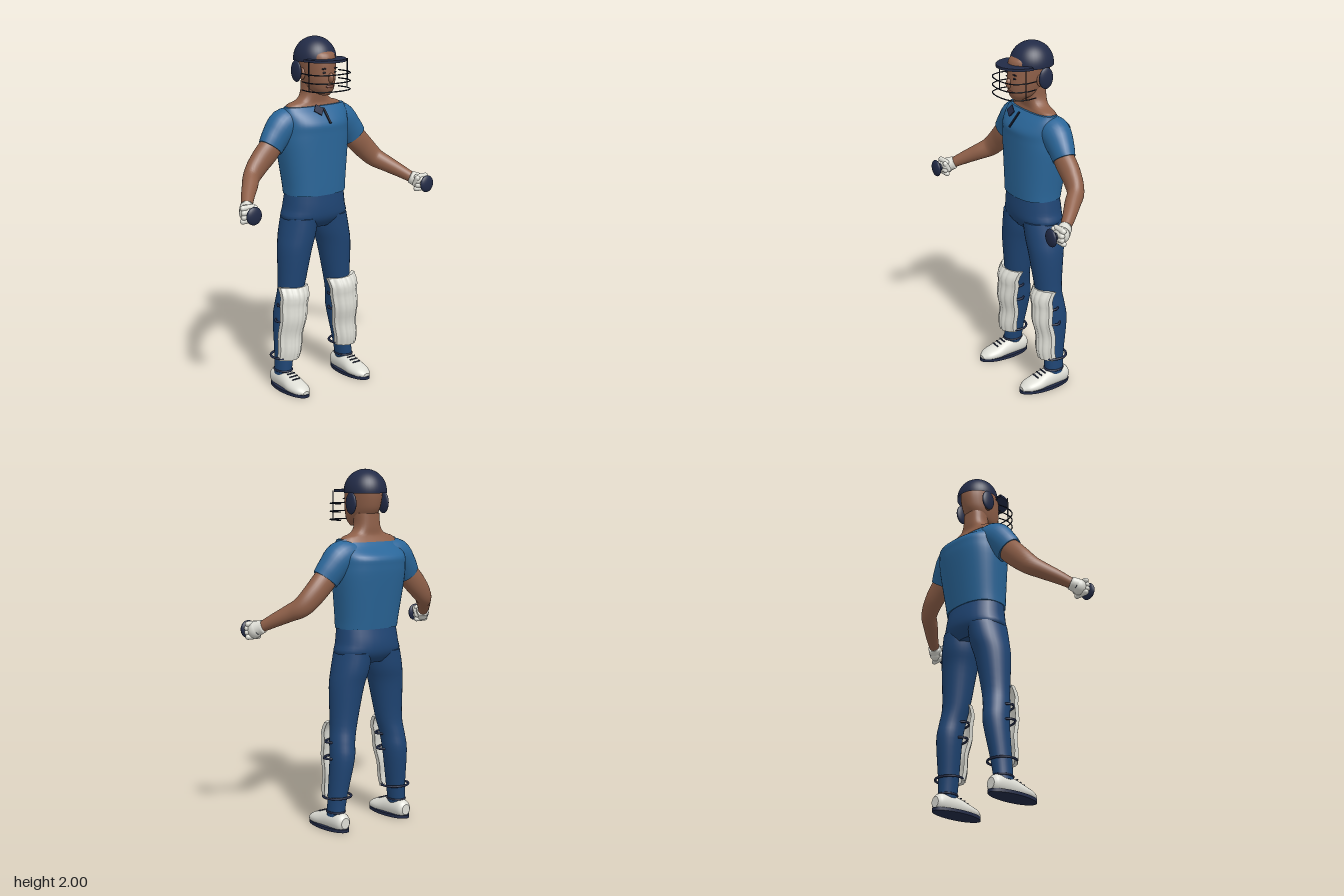
import * as THREE from 'three';

const V = (x, y, z) => new THREE.Vector3(x, y, z);
const mat = (name, color, side = THREE.FrontSide) => {
  const m = new THREE.MeshStandardMaterial({ color, side });
  m.name = name;
  return m;
};

// Skin of rounded sections. Row: [x, y, z, half width, half depth]; axis null follows the path.
function loft(rows, axis = null, e = 2, n = 28, sub = 4) {
  const centre = new THREE.CatmullRomCurve3(rows.map(r => V(r[0], r[1], r[2])), false, 'catmullrom', 0.5);
  const size = new THREE.CatmullRomCurve3(rows.map(r => V(r[3], r[4], 0)), false, 'catmullrom', 0.5);
  const steps = (rows.length - 1) * sub, pos = [], idx = [];
  const ring = (t) => {
    const c = centre.getPoint(t), s = size.getPoint(t);
    const d = axis || centre.getTangent(t);
    const b = Math.abs(d.y) > 0.99 ? V(0, 0, -1) : V(0, 1, 0).addScaledVector(d, -d.y).normalize();
    const a = b.clone().cross(d).normalize();
    for (let i = 0; i < n; i++) {
      const w = i / n * Math.PI * 2, co = Math.cos(w), si = Math.sin(w);
      const p = c.clone()
        .addScaledVector(a, s.x * Math.sign(co) * Math.abs(co) ** (2 / e))
        .addScaledVector(b, s.y * Math.sign(si) * Math.abs(si) ** (2 / e));
      pos.push(p.x, p.y, p.z);
    }
  };
  for (let j = 0; j <= steps; j++) ring(j / steps);
  for (let j = 0; j < steps; j++) for (let i = 0; i < n; i++) {
    const p = j * n + i, q = j * n + (i + 1) % n;
    idx.push(p, q, p + n, q, q + n, p + n);
  }
  // end caps with their own corners, so the rims stay sharp
  for (const t of [0, 1]) {
    const start = pos.length / 3;
    ring(t);
    const c = centre.getPoint(t), m = start + n;
    pos.push(c.x, c.y, c.z);
    for (let i = 0; i < n; i++) {
      const p = start + i, q = start + (i + 1) % n;
      t ? idx.push(p, q, m) : idx.push(q, p, m);
    }
  }
  const g = new THREE.BufferGeometry();
  g.setAttribute('position', new THREE.Float32BufferAttribute(pos, 3));
  g.setIndex(idx);
  g.computeVertexNormals();
  return g;
}

// Move every vertex of a geometry by a rule
function bend(g, rule) {
  const p = g.attributes.position, v = V(0, 0, 0);
  for (let i = 0; i < p.count; i++) {
    rule(v.fromBufferAttribute(p, i));
    p.setXYZ(i, v.x, v.y, v.z);
  }
  g.computeVertexNormals();
  return g;
}

const tube = (pts, r) => new THREE.TubeGeometry(new THREE.CatmullRomCurve3(pts), 28, r, 6);
const ball = (rx, ry, rz) => new THREE.SphereGeometry(1, 24, 16).scale(rx, ry, rz);

export function createModel() {
  const root = new THREE.Group();
  const Y = V(0, 1, 0), Z = V(0, 0, 1);
  const skin = mat('skin', 0x8f6049);
  const shirt = mat('shirt blue', 0x2a6699);
  const pants = mat('trouser blue', 0x1f4574);
  const navy = mat('navy', 0x222b47, THREE.DoubleSide);
  const white = mat('off white', 0xdeded6);
  const dark = mat('dark trim', 0x151b2b);
  const lip = mat('lip', 0x74463a);
  const add = (name, geo, m, x = 0, y = 0, z = 0) => {
    const mesh = new THREE.Mesh(geo, m);
    mesh.name = name;
    mesh.position.set(x, y, z);
    root.add(mesh);
    return mesh;
  };

  // Torso
  add('shirt', loft([
    [0, 1.13, -.06, .185, .13], [0, 1.2, -.065, .19, .137], [0, 1.4, -.08, .212, .155],
    [0, 1.48, -.084, .212, .16], [0, 1.53, -.082, .21, .157], [0, 1.58, -.062, .205, .105],
    [0, 1.622, -.06, .195, .064]], Y, 2.4, 40), shirt);
  add('hips', loft([
    [0, 1.14, -.06, .18, .125], [0, 1.05, -.065, .192, .134], [0, .99, -.066, .2, .126],
    [0, .94, -.066, .1, .09]].reverse(), Y, 2.2), pants);
  add('shoulders', loft([
    [0, 1.605, -.072, .188, .07], [0, 1.632, -.07, .165, .058], [0, 1.652, -.068, .105, .056],
    [0, 1.69, -.066, .074, .06], [0, 1.76, -.06, .068, .065]], Y, 2.6), skin);
  add('placket', new THREE.BoxGeometry(.012, .1, .006), dark, 0, 1.575, .06).rotation.x = -.72;
  const flap = add('collarFlap', new THREE.BoxGeometry(.052, .044, .006), navy, -.05, 1.61, .05);
  flap.rotation.set(-.5, 0, -.6);

  // Head and face
  add('head', loft([
    [0, 1.688, .035, .03, .03], [0, 1.72, 0, .062, .085], [0, 1.77, -.02, .078, .113],
    [0, 1.82, -.03, .085, .122], [0, 1.88, -.036, .088, .124], [0, 1.92, -.04, .08, .108],
    [0, 1.965, -.05, .03, .03]], Y, 2.1), skin);
  add('nose', ball(.015, .028, .02), skin, 0, 1.785, .092);
  add('mouth', ball(.027, .008, .008), lip, 0, 1.738, .087);
  for (const s of [-1, 1]) {
    add('eye', ball(.014, .005, .005), dark, s * .035, 1.815, .081);
    add('eyebrow', ball(.02, .004, .005), dark, s * .036, 1.836, .082);
    add('ear', ball(.012, .034, .022), skin, s * .088, 1.8, -.05);
  }

  // Helmet
  add('helmetShell', new THREE.SphereGeometry(1, 40, 20, 0, Math.PI * 2, 0, 1.66).scale(.117, .12, .122), navy, 0, 1.88, -.052);
  add('helmetPeak', new THREE.CylinderGeometry(1, 1, .014, 36, 1, false, -Math.PI / 2, Math.PI).scale(.126, 1, .138), navy, 0, 1.88, .017);
  for (const y of [1.81, 1.765, 1.72]) {
    add('grilleBar', tube([V(-.125, y, 0), V(-.131, y, .07), V(-.1, y, .135), V(0, y, .16),
      V(.1, y, .135), V(.131, y, .07), V(.125, y, 0)], .0035), dark);
  }
  for (const s of [-1, 1]) {
    add('earGuard', ball(.016, .06, .044), navy, s * .113, 1.815, -.07);
    add('grillePost', new THREE.CylinderGeometry(.0035, .0035, .16, 6), dark, s * .131, 1.8, .07);
  }

  for (const s of [-1, 1]) {
    const side = rows => rows.map(([x, ...r]) => [s * x, ...r]);

    // Arm
    add('sleeve', loft(side([
      [.11, 1.545, -.08, .08, .07], [.19, 1.525, -.08, .084, .09],
      [.25, 1.465, -.076, .072, .083], [.29, 1.41, -.07, .06, .078]])), shirt);
    add('arm', loft(side([
      [.25, 1.45, -.072, .05, .06], [.3, 1.4, -.07, .054, .068], [.37, 1.33, -.068, .051, .064],
      [.43, 1.27, -.05, .046, .056], [.475, 1.235, 0, .043, .047], [.53, 1.195, .06, .036, .038],
      [.585, 1.15, .13, .027, .028]])), skin);

    // Glove around a grip with a round end
    add('gloveCuff', loft(side([[.572, 1.16, .112, .036, .036], [.595, 1.145, .145, .04, .042]])), white);
    add('glovePalm', ball(.04, .046, .042), white, s * .6, 1.137, .155);
    for (let i = 0; i < 4; i++) {
      const finger = new THREE.CapsuleGeometry(.0155, .066, 6, 12).rotateZ(Math.PI / 2);
      add('gloveFinger', finger, white, s * .602, 1.1 + i * .0235, .168 + .012 * Math.sin(i));
    }
    const thumb = add('gloveThumb', new THREE.CapsuleGeometry(.015, .045, 6, 12), white, s * .565, 1.145, .17);
    thumb.rotation.x = .5;
    add('grip', new THREE.CylinderGeometry(.02, .02, .1, 16).rotateX(Math.PI / 2), navy, s * .6, 1.137, .165);
    add('gripEnd', ball(.047, .049, .018), navy, s * .6, 1.135, .222);

    // Leg
    add('trouserLeg', loft(side([
      [.222, .08, -.065, .046, .055], [.21, .2, -.07, .053, .061], [.19, .4, -.085, .068, .075],
      [.18, .5, -.073, .07, .077], [.162, .6, -.062, .077, .078], [.14, .8, -.06, .097, .1],
      [.118, .9, -.065, .104, .115], [.1, 1.0, -.066, .098, .122]]), Y), pants);

    // Leg pad: ribbed, curved shell with a knee roll
    add('legPad', bend(new THREE.BoxGeometry(2, 1, 1, 40, 14, 1), v => {
      const u = v.x, t = v.y + .5, back = v.z < 0;
      const outer = .278 - .013 * t, inner = .135 - .06 * t;
      const rib = back ? 0 : .005 * Math.abs(Math.sin(u * Math.PI * 2.5));
      const roll = t > .8 ? -.9 * (t - .8) ** 2 : .006 * Math.sin(t * 14);
      v.x = s * (outer + inner) / 2 + u * (outer - inner) / 2;
      v.y = .18 + .425 * t + .006 * u * s * t;
      v.z = .022 + .033 * t - .045 * u * u + rib + roll - (back ? .022 : 0);
    }), white);

    // Pad straps
    for (const [x, y, z, rx, rz] of [[.21, .19, -.065, .08, .075], [.19, .41, -.045, .088, .052], [.18, .5, -.04, .084, .052]]) {
      add('padStrap', new THREE.TorusGeometry(1, .09, 8, 36).rotateX(Math.PI / 2).scale(rx, .075, rz), navy, s * x, y, z);
    }

    // Shoe
    add('shoe', bend(loft(side([
      [.22, .05, -.155, .028, .03], [.22, .05, -.13, .046, .052], [.22, .05, -.06, .052, .06],
      [.22, .045, 0, .056, .055], [.22, .036, .06, .061, .042], [.22, .03, .12, .05, .03],
      [.22, .024, .158, .02, .012]]), Z), v => { v.y = Math.max(v.y, .014); }), white);
    add('sole', new THREE.CylinderGeometry(1, 1, .018, 36).scale(.068, 1, .165), navy, s * .22, .009, 0);
    add('shoeCollar', new THREE.TorusGeometry(1, .12, 8, 28).rotateX(Math.PI / 2).scale(.047, .05, .056), navy, s * .22, .104, -.065);
    for (let i = 0; i < 3; i++) {
      const lace = new THREE.CapsuleGeometry(.004, .05, 4, 8).rotateZ(Math.PI / 2);
      add('lace', lace, navy, s * .22, .098 - i * .009, .012 + i * .024);
    }
  }
  return root;
}
